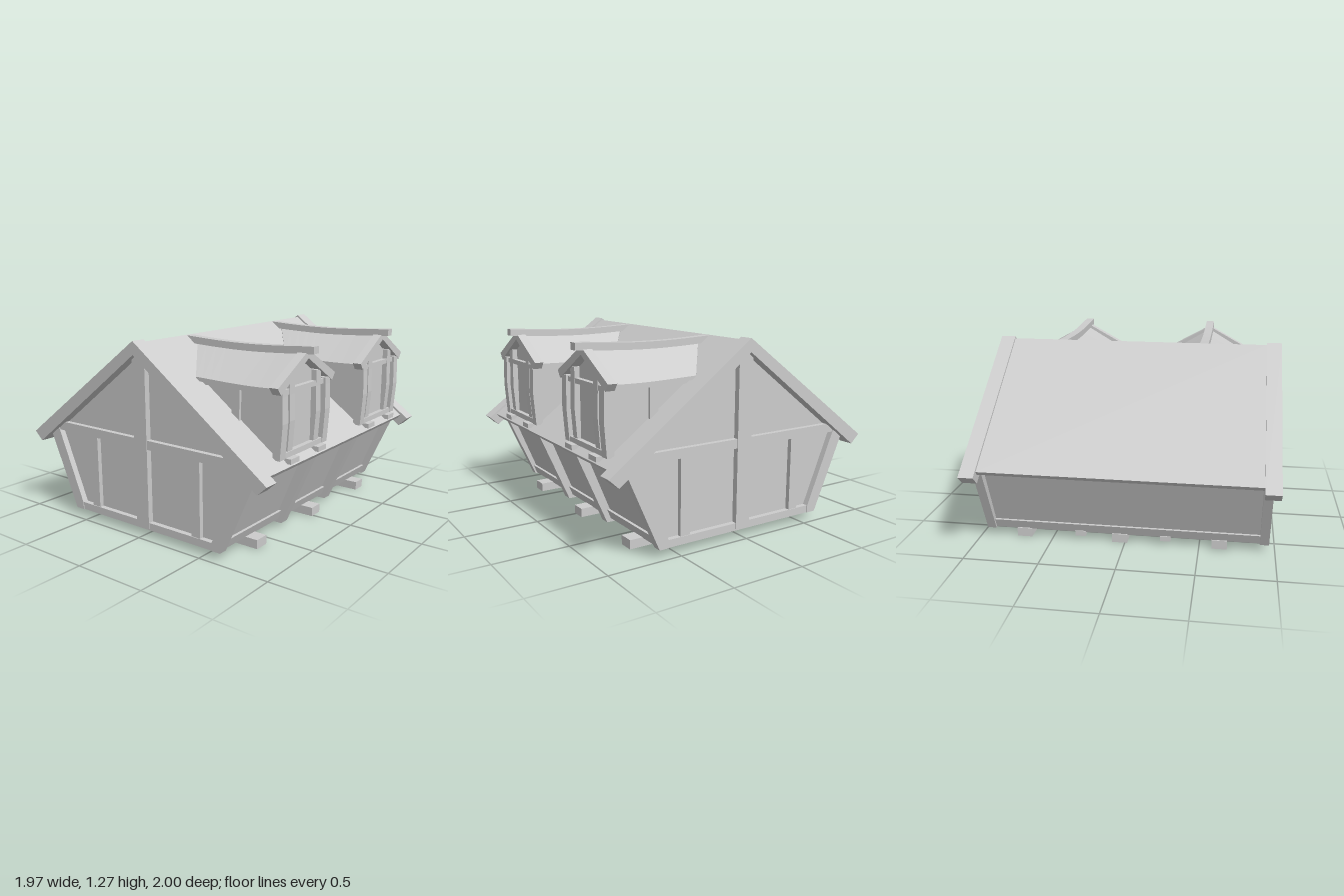
import * as THREE from 'three';

const stone = new THREE.MeshStandardMaterial({ color: 0xcccccc });
stone.name = 'plain grey';

export function createModel() {
  const house = new THREE.Group();
  house.name = 'timberHouse';

  const add = (parent, name, geometry) => {
    const mesh = new THREE.Mesh(geometry, stone);
    mesh.name = name;
    parent.add(mesh);
    return mesh;
  };
  const box = (parent, name, x0, x1, y0, y1, z0, z1) =>
    add(parent, name, new THREE.BoxGeometry(x1 - x0, y1 - y0, z1 - z0)
      .translate((x0 + x1) / 2, (y0 + y1) / 2, (z0 + z1) / 2));
  const outline = (pts) => new THREE.Shape(pts.map(([x, y]) => new THREE.Vector2(x, y)));
  // front-plane outline, extruded from z0 to z1
  const prismZ = (parent, name, pts, z0, z1) =>
    add(parent, name, new THREE.ExtrudeGeometry(outline(pts), { depth: z1 - z0, bevelEnabled: false })
      .translate(0, 0, z0));
  // side-plane outline, extruded from x0 to x1
  const prismX = (parent, name, pts, x0, x1) =>
    add(parent, name, new THREE.ExtrudeGeometry(outline(pts), { depth: x1 - x0, bevelEnabled: false })
      .rotateY(Math.PI / 2).translate(x0, 0, 0));
  // right half of a symmetric outline, completed on the left
  const mirrored = (pts) => [...pts, ...pts.filter(([x]) => x !== 0).map(([x, y]) => [-x, y]).reverse()];
  const flip = (pts, s) => pts.map(([x, y]) => [x * s, y]);
  const chevron = (top, ox, oy, ix, iy, low) =>
    [[0, top], [ox, oy], [ix, iy], [0, low], [-ix, iy], [-ox, oy]];

  // walls and roof
  prismZ(house, 'walls', [[-0.6, 0.06], [0.6, 0.06], [0.82, 0.6], [0, 1.2], [-0.82, 0.6]], -0.92, 0.92);
  prismZ(house, 'roof', chevron(1.26, 0.93, 0.577, 0.912, 0.552, 1.223), -0.9, 0.9);

  // gable framing, front and back
  for (const s of [1, -1]) {
    const gable = new THREE.Group();
    gable.name = s > 0 ? 'frontGable' : 'backGable';
    if (s < 0) gable.rotation.y = Math.PI;
    house.add(gable);
    prismZ(gable, 'bargeboard', chevron(1.275, 0.985, 0.555, 0.92, 0.495, 1.19), 0.9, 1);
    prismZ(gable, 'tieBeam', mirrored([[0.8, 0.59], [0.73, 0.65]]), 0.9, 0.955);
    box(gable, 'sill', -0.6, 0.6, 0.05, 0.1, 0.9, 0.955);
    box(gable, 'centrePost', -0.053, 0.053, 0.06, 1.2, 0.9, 0.958);
    for (const side of [1, -1]) {
      const c = side * 0.438 - 0.002;
      box(gable, 'stud', c - 0.034, c + 0.034, 0.06, 0.62, 0.9, 0.95);
      prismZ(gable, 'cornerPost', flip([[0.565, 0.05], [0.63, 0.05], [0.85, 0.55],
        [0.82, 0.6], [0.775, 0.6], [0.565, 0.1]], side), 0.9, 0.96);
    }
  }

  // bottom rails along both sides
  for (const s of [1, -1]) {
    prismZ(house, 'sideRail', flip([[0.57, 0.055], [0.618, 0.055], [0.645, 0.12], [0.6, 0.12]], s), -0.9, 0.9);
  }
  // braces on the right wall with cross beams under the floor
  for (const z of [0.275, -0.305]) {
    prismZ(house, 'sideBrace', [[0.58, 0.03], [0.645, 0.03], [0.875, 0.56], [0.8, 0.56]], z - 0.035, z + 0.035);
    box(house, 'floorBeam', -0.63, 0.62, 0.03, 0.065, z - 0.035, z + 0.035);
  }
  // joists under the floor
  for (const z of [0.635, -0.035, -0.698]) {
    box(house, 'joist', -0.63, 0.71, 0, 0.06, z - 0.051, z + 0.051);
  }

  // two dormers on the right roof slope
  for (const z of [0.466, -0.55]) {
    const dormer = new THREE.Group();
    dormer.name = 'dormer';
    dormer.position.z = z;
    house.add(dormer);
    addDormer(dormer);
  }

  function addDormer(d) {
    const sag = (x) => -0.018 * Math.sin(Math.PI * Math.min(x / 0.93, 1));
    prismX(d, 'dormerWalls', mirrored([[0.245, 0.62], [0.245, 1.03], [0, 1.175]]), 0.3, 0.865);

    // saddle roof that dips along its length and meets the main slope
    const roof = new THREE.BoxGeometry(1, 1, 2, 10, 1, 2).toNonIndexed();
    const p = roof.attributes.position;
    for (let i = 0; i < p.count; i++) {
      const u = p.getX(i) + 0.5, v = Math.abs(p.getZ(i));
      const start = 0.07 + 0.22 * v;
      const x = start + (0.86 - start) * u;
      const y = 1.222 - 0.17 * v + sag(x) * u + (p.getY(i) - 0.5) * 0.025;
      p.setXYZ(i, x, y, p.getZ(i) * 0.287);
    }
    roof.computeVertexNormals();
    add(d, 'dormerRoof', roof);

    // ridge beam bent along the same curve
    const ridge = new THREE.BoxGeometry(0.96, 0.045, 0.06, 12, 1, 1).toNonIndexed();
    ridge.translate(0.485, 1.235, 0);
    const r = ridge.attributes.position;
    for (let i = 0; i < r.count; i++) {
      r.setY(i, r.getY(i) + sag(r.getX(i)) + 0.008 * r.getX(i));
    }
    ridge.computeVertexNormals();
    add(d, 'ridgeBeam', ridge);

    prismX(d, 'dormerBargeboard', chevron(1.24, 0.328, 1.06, 0.295, 1.015, 1.19), 0.855, 0.915);

    // bowed posts and studs on the window face
    const bowed = (x, top) => [[0.85, 0.62], [x - 0.012, 0.62], [x - 0.006, 0.7], [x + 0.004, 0.84], [x, 1.0], [x, top], [0.85, top]];
    for (const s of [1, -1]) {
      const strip = (name, a, b, x, top) =>
        prismZ(d, name, bowed(x, top), Math.min(a * s, b * s), Math.max(a * s, b * s));
      strip('dormerPost', 0.215, 0.275, 0.912, 1.04);
      strip('windowStud', 0.122, 0.178, 0.9, 1.1);
      box(d, 'bracket', 0.82, 0.935, 0.59, 0.622, s * 0.16 - 0.047, s * 0.16 + 0.047);
      // side framing
      const z0 = s > 0 ? 0.23 : -0.265, z1 = z0 + 0.035;
      box(d, 'wallPlate', 0.32, 0.87, 1.005, 1.032, z0, z1);
      box(d, 'sideStud', 0.545, 0.603, 0.78, 1.02, z0, z1);
    }
    box(d, 'windowSill', 0.85, 0.898, 0.62, 0.655, -0.25, 0.25);
    box(d, 'windowHead', 0.85, 0.898, 1.003, 1.035, -0.25, 0.25);
  }

  return house;
}
